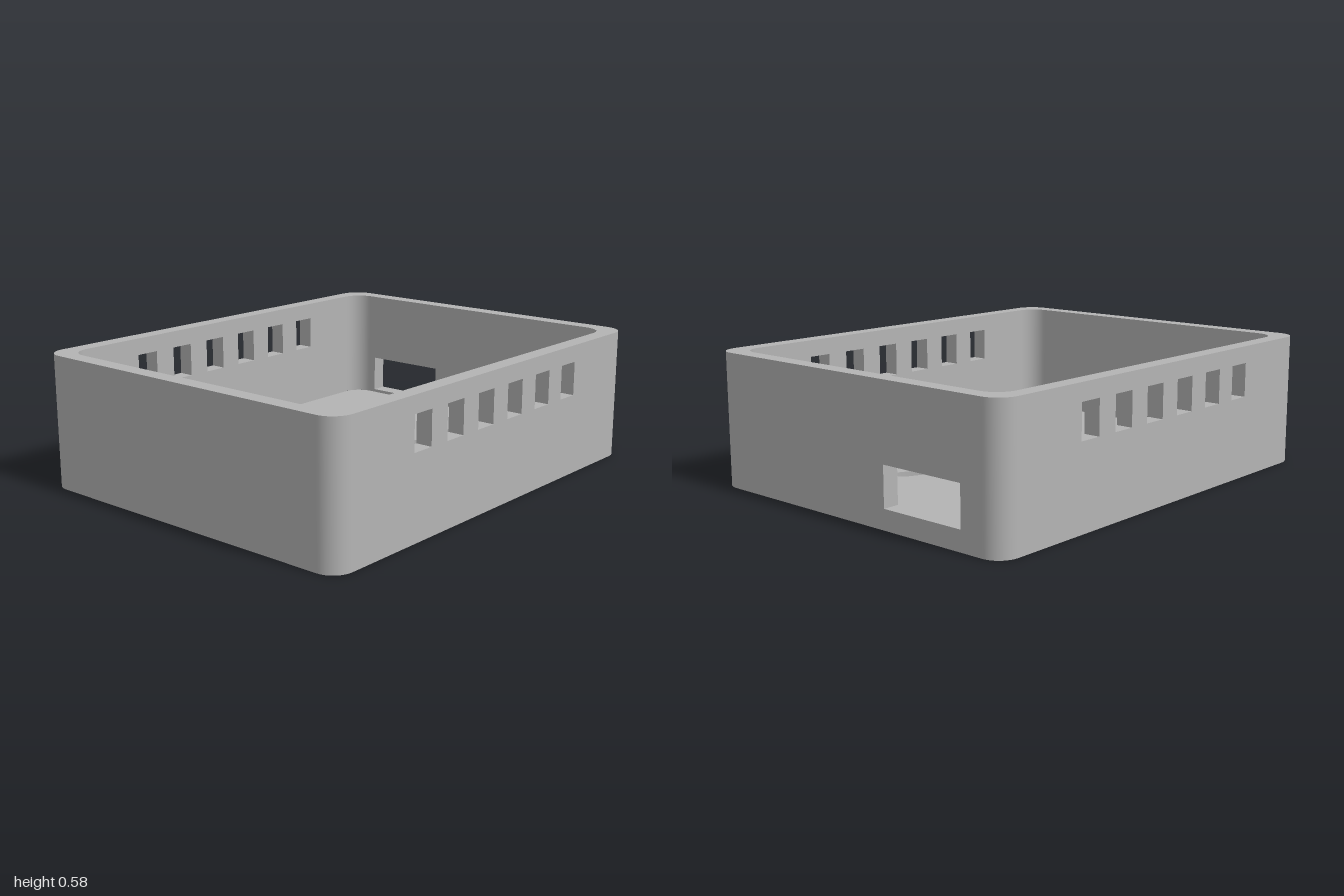
import * as THREE from 'three';
import { toCreasedNormals } from 'three/addons/utils/BufferGeometryUtils.js';

const W = 1, D = 0.797, H = 0.577, T = 0.071; // half width, half depth, height, thickness
const R = 0.09; // corner radius, outside and inside

// Counter-clockwise outline of a rounded, optionally turned rectangle
function rect(w, h, r = 0, cx = 0, cy = 0, turn = 0) {
  const pts = [], n = r ? 8 : 0;
  for (let i = 0; i < 4; i++) {
    const sx = i === 0 || i === 3 ? 1 : -1, sy = i < 2 ? 1 : -1;
    for (let j = 0; j <= n; j++) {
      const a = (i + (n ? j / n : 0)) * Math.PI / 2;
      pts.push(new THREE.Vector2(
        sx * (w / 2 - r) + r * Math.cos(a) + cx,
        sy * (h / 2 - r) + r * Math.sin(a) + cy
      ).rotateAround(new THREE.Vector2(cx, cy), turn));
    }
  }
  return pts;
}

// Flat sheet facing +z with openings
function sheet(outline, holes, z) {
  const shape = new THREE.Shape(outline);
  shape.holes = holes.map(h => new THREE.Path(h));
  return new THREE.ShapeGeometry(shape).translate(0, 0, z);
}

// Inward-facing wall of an opening, from z0 to z1
function tunnel(pts, z0, z1) {
  const pos = [];
  pts.forEach((a, i) => {
    const b = pts[(i + 1) % pts.length];
    pos.push(a.x, a.y, z0, a.x, a.y, z1, b.x, b.y, z1, a.x, a.y, z0, b.x, b.y, z1, b.x, b.y, z0);
  });
  const g = new THREE.BufferGeometry();
  g.setAttribute('position', new THREE.Float32BufferAttribute(pos, 3));
  return toCreasedNormals(g, 0.6);
}

// Turn a surface to face the other way
function flip(g) {
  g.index.array.reverse();
  g.attributes.normal.array.forEach((v, i, arr) => { arr[i] = -v; });
  return g;
}

export function createModel() {
  const model = new THREE.Group();
  model.name = 'ventilatedCase';
  const grey = new THREE.MeshStandardMaterial({ color: 0xb4b4b4 });
  grey.name = 'greyPlastic';
  const group = name => {
    const g = new THREE.Group();
    g.name = name;
    model.add(g);
    return g;
  };
  const add = (parent, name, geometry) => {
    const m = new THREE.Mesh(geometry, grey);
    m.name = name;
    parent.add(m);
  };

  // Floor openings: display window and three staggered rows of tilted slots
  const floorHoles = [rect(0.987, 0.29, 0.03, -0.003, 0.3)];
  for (let row = 0; row < 3; row++) {
    for (let col = 0; col < 5; col++) {
      const x = (row === 1 ? -0.47 : -0.415) + col * 0.234;
      const tilt = THREE.MathUtils.degToRad(18 + 1.75 * col + 2 * row);
      floorHoles.push(rect(0.163, 0.078, 0.03, x, -0.125 - row * 0.163, -tilt));
    }
  }
  const outer = rect(2 * W, 2 * D, R);
  const inner = rect(2 * (W - T), 2 * (D - T), R);

  // Floor and rim, laid flat
  const floor = group('floor');
  floor.rotation.x = -Math.PI / 2;
  add(floor, 'floorUnderside', flip(sheet(outer, floorHoles, 0)));
  add(floor, 'floorTop', sheet(inner, floorHoles, T));
  floorHoles.forEach((h, i) => add(floor, i ? 'speakerSlot' : 'displayWindow', tunnel(h, 0, T)));
  add(floor, 'rim', sheet(outer, [inner], H));

  // Straight walls with their openings
  const vents = [];
  for (let i = 0; i < 6; i++) vents.push(rect(0.105, 0.147, 0, (i - 2.5) * 0.2035, 0.43));
  const port = rect(0.396, 0.17, 0, 0.407, 0.17);
  const walls = [
    ['frontWall', W, D, vents], ['leftWall', D, W, [port]],
    ['backWall', W, D, vents], ['rightWall', D, W, []],
  ];
  walls.forEach(([name, half, dist, holes], i) => {
    const wall = group(name);
    wall.rotation.y = i * Math.PI / 2;
    add(wall, 'outerFace', sheet(rect(2 * (half - R), H, 0, 0, H / 2), holes, dist));
    add(wall, 'innerFace', flip(sheet(rect(2 * (half - T - R), H - T, 0, 0, (H + T) / 2), holes, dist - T)));
    holes.forEach(h => add(wall, holes.length > 1 ? 'vent' : 'sidePort', tunnel(h, dist - T, dist)));
  });

  // Rounded corners, outside and inside
  const corners = group('corners');
  [[1, 1], [1, -1], [-1, -1], [-1, 1]].forEach(([sx, sz], i) => {
    const arc = (h, y, inset) => new THREE.CylinderGeometry(R, R, h, 12, 1, true, i * Math.PI / 2, Math.PI / 2)
      .translate(sx * (W - inset - R), y, sz * (D - inset - R));
    add(corners, 'outerCorner', arc(H, H / 2, 0));
    add(corners, 'innerCorner', flip(arc(H - T, (H + T) / 2, T)));
  });
  return model;
}
